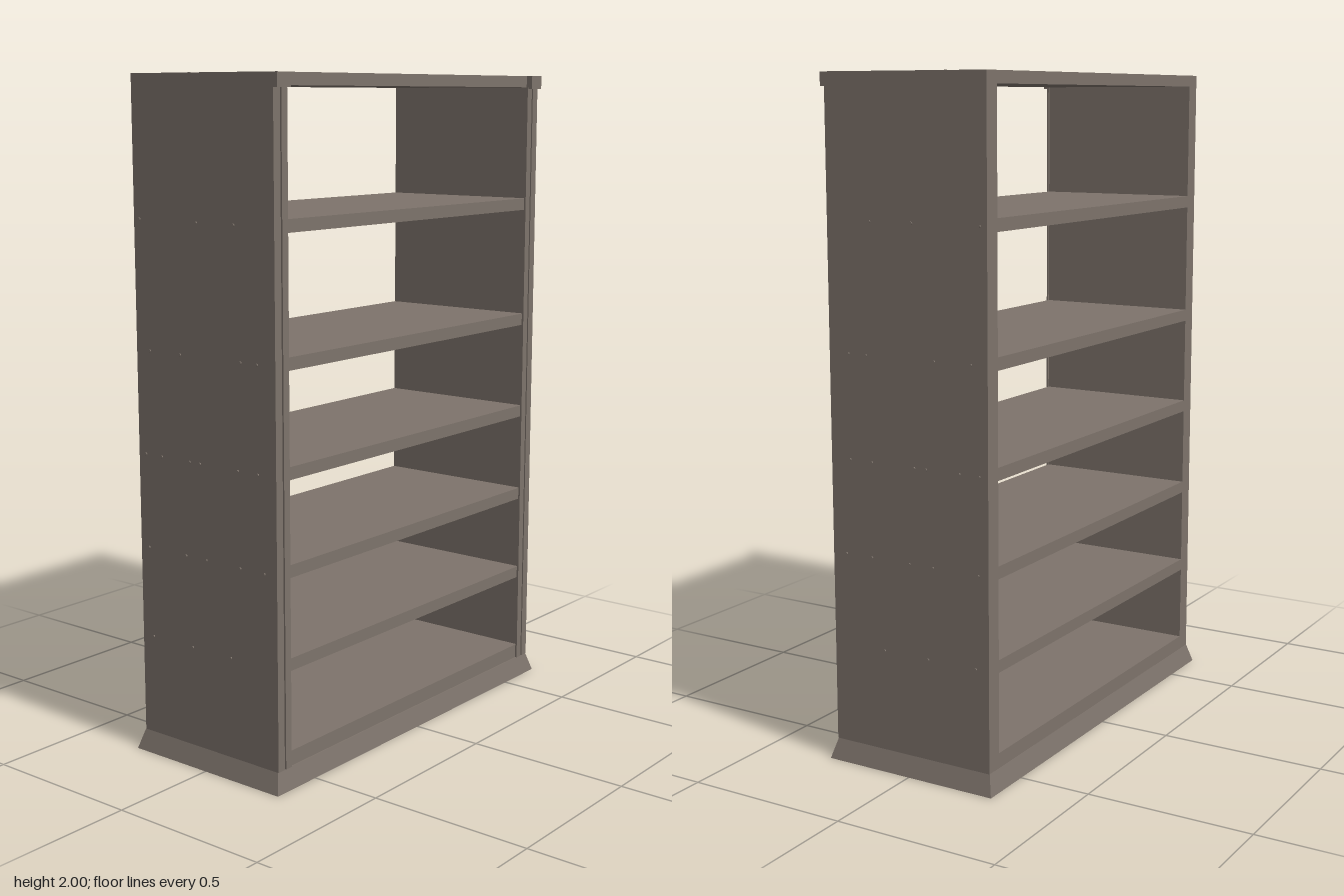
import * as THREE from 'three';

export function createModel() {
  const model = new THREE.Group();
  model.name = 'bookcase';
  const wood = new THREE.MeshStandardMaterial({ color: 0x7d736b });
  wood.name = 'taupe wood';

  const add = (name, geometry, x = 0, y = 0, z = 0) => {
    const mesh = new THREE.Mesh(geometry, wood);
    mesh.name = name;
    mesh.position.set(x, y, z);
    model.add(mesh);
    return mesh;
  };
  // box given by its lower and upper limits
  const box = (name, x0, x1, y0, y1, z0, z1) => add(name,
    new THREE.BoxGeometry(x1 - x0, y1 - y0, z1 - z0),
    (x0 + x1) / 2, (y0 + y1) / 2, (z0 + z1) / 2);

  const OUT = 0.645, IN = 0.593, BACK = -0.263, FRONT = 0.26;

  // flared plinth: the upper corners of a box are drawn inward
  const plinth = new THREE.BoxGeometry(1.33, 0.06, 0.56);
  const p = plinth.attributes.position;
  for (let i = 0; i < p.count; i++) {
    if (p.getY(i) > 0) {
      p.setX(i, Math.sign(p.getX(i)) * OUT);
      p.setZ(i, Math.sign(p.getZ(i)) * 0.264);
    }
  }
  plinth.computeVertexNormals();
  add('plinth', plinth, 0, 0.03, 0);

  // top board and shelves
  box('topBoard', -OUT, OUT, 1.965, 2, BACK, FRONT);
  box('bottomShelf', -IN, IN, 0.06, 0.105, BACK, FRONT);
  const shelfTops = [0.38, 0.652, 0.932, 1.238, 1.613];
  for (const top of shelfTops) box('shelf', -IN, IN, top - 0.037, top, BACK, FRONT);

  // nail positions along the depth, one row per shelf
  const nailRows = [
    [0.09, -0.06, -0.22],
    [0.22, 0.13, 0, -0.08, -0.23],
    [0.2, 0.125, -0.02, -0.06, -0.17, -0.235],
    [0.2, 0.14, -0.09, -0.21],
    [0.12, -0.02, -0.24],
  ];
  const nail = new THREE.CylinderGeometry(0.004, 0.004, 0.008, 8);

  for (const s of [-1, 1]) {
    const side = (name, a, b, ...rest) => box(name, Math.min(s * a, s * b), Math.max(s * a, s * b), ...rest);
    side('sidePanel', IN, OUT, 0.06, 1.965, BACK, FRONT);

    // front stile with a shallow groove, and its corner block
    side('stileInner', 0.588, 0.612, 0.06, 1.965, FRONT, 0.266);
    side('stileOuter', 0.618, OUT, 0.06, 1.965, FRONT, 0.266);
    side('cornerBlock', 0.59, OUT, 1.96, 2, FRONT, 0.28);

    // nails through the side panel and the top board
    nailRows.forEach((row, i) => {
      for (const z of row) {
        add('sideNail', nail, s * OUT, shelfTops[i] - 0.019, z).rotation.z = Math.PI / 2;
      }
    });
    for (const z of [-0.12, -0.09, -0.06]) add('topNail', nail, s * 0.62, 1.997, z);
  }
  return model;
}
